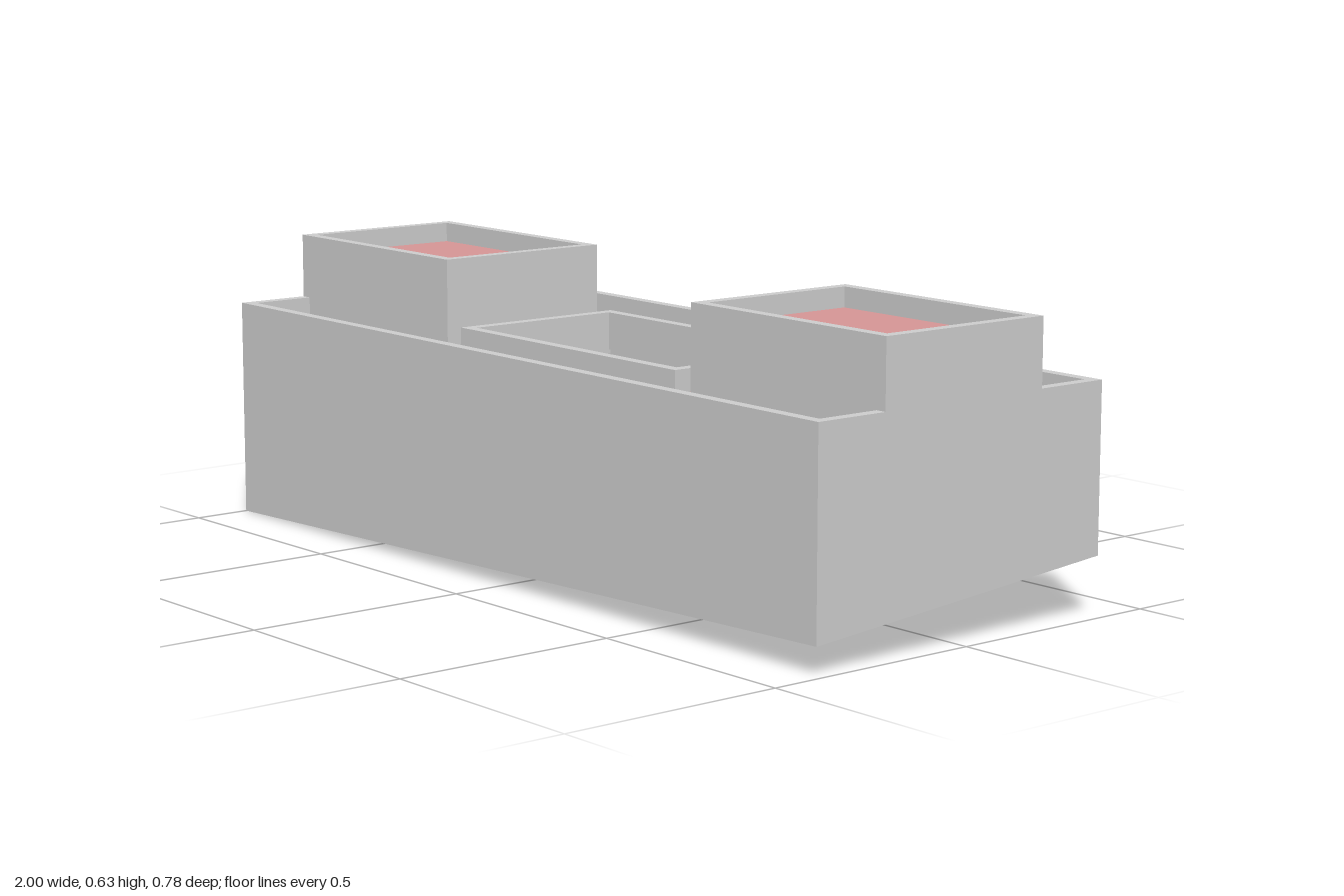
import * as THREE from 'three';

const HX = 0.996, HZ = 0.38, T = 0.025; // half length, half depth, wall thickness
const BZ = 0.21, BX = 0.42;             // tower half depth, tower inner end
const CX = 0.37;                        // courtyard half length
const BASE = 0.13, CEIL = 0.39, ROOF = 0.44, RIM = 0.49, TOWER_ROOF = 0.59, TOP = 0.635;

const grey = new THREE.MeshStandardMaterial({ color: 0xcccccc });
const greyThin = new THREE.MeshStandardMaterial({ color: 0xcccccc, side: THREE.DoubleSide });
const red = new THREE.MeshStandardMaterial({ color: 0xd49494 });

const rect = (hx, hz) => [[-hx, -hz], [hx, -hz], [hx, hz], [-hx, hz]];
const toVectors = (pts) => pts.map(([x, y]) => new THREE.Vector2(x, y));

function planShape(outer, hole) {
  const shape = new THREE.Shape(toVectors(outer));
  if (hole) shape.holes.push(new THREE.Path(toVectors(hole)));
  return shape;
}

// Extrude a floor plan upwards from y0 to y1
function prism(name, shape, y0, y1) {
  const geo = new THREE.ExtrudeGeometry(shape, { depth: y1 - y0, bevelEnabled: false });
  geo.rotateX(-Math.PI / 2).translate(0, y0, 0);
  const mesh = new THREE.Mesh(geo, grey);
  mesh.name = name;
  return mesh;
}

// Coloured roof covering laid just above a slab
function covering(name, shape, y) {
  const mesh = new THREE.Mesh(new THREE.ShapeGeometry(shape).rotateX(-Math.PI / 2), red);
  mesh.position.y = y + 0.001;
  mesh.name = name;
  return mesh;
}

// Thin outer skirt running down to the sloping ground
function groundSkirt() {
  const corners = [[-HX, HZ, 0], [HX, HZ, 0.06], [HX, -HZ, BASE], [-HX, -HZ, 0.08]];
  const pos = [];
  corners.forEach(([x, z, y], i) => {
    const [x2, z2, y2] = corners[(i + 1) % 4];
    pos.push(x, y, z, x2, y2, z2, x2, BASE, z2, x, y, z, x2, BASE, z2, x, BASE, z);
  });
  const geo = new THREE.BufferGeometry();
  geo.setAttribute('position', new THREE.Float32BufferAttribute(pos, 3));
  geo.computeVertexNormals();
  const mesh = new THREE.Mesh(geo, greyThin);
  mesh.name = 'groundSkirt';
  return mesh;
}

export function createModel() {
  const model = new THREE.Group();
  model.name = 'building';
  model.rotation.y = -0.01;

  // Outer walls, open underneath
  model.add(groundSkirt());
  model.add(prism('outerWalls', planShape(rect(HX, HZ), rect(HX - T, HZ - T)), BASE, ROOF));

  // Main roof with its courtyard opening
  const roofPlan = planShape(rect(HX - T, HZ - T), rect(CX, BZ));
  model.add(prism('roofSlab', roofPlan, CEIL, ROOF));
  model.add(covering('roofCovering', roofPlan, ROOF));
  model.add(prism('courtyardRim', planShape(rect(CX, BZ), rect(CX - T, BZ - T)), CEIL + 0.015, RIM));

  // Parapets along the front and back, returning to the towers
  const parapet = [[-HX, -HZ], [HX, -HZ], [HX, -BZ], [HX - T, -BZ],
    [HX - T, -HZ + T], [-HX + T, -HZ + T], [-HX + T, -BZ], [-HX, -BZ]];
  ['frontParapet', 'backParapet'].forEach((name, i) => {
    const mesh = prism(name, planShape(parapet), ROOF, RIM);
    mesh.rotation.y = i * Math.PI;
    model.add(mesh);
  });

  // A raised tower at each end
  const hx = (HX - BX) / 2;
  for (const side of [-1, 1]) {
    const tower = new THREE.Group();
    tower.name = side > 0 ? 'leftTower' : 'rightTower';
    tower.position.x = side * (HX + BX) / 2;
    const inner = rect(hx - T, BZ - T);
    tower.add(prism('towerWalls', planShape(rect(hx, BZ), inner), ROOF, TOP));
    tower.add(prism('towerRoofSlab', planShape(inner), TOWER_ROOF - 0.05, TOWER_ROOF));
    tower.add(covering('towerRoofCovering', planShape(inner), TOWER_ROOF));
    model.add(tower);
  }

  const group = new THREE.Group();
  group.add(model);
  return group;
}
